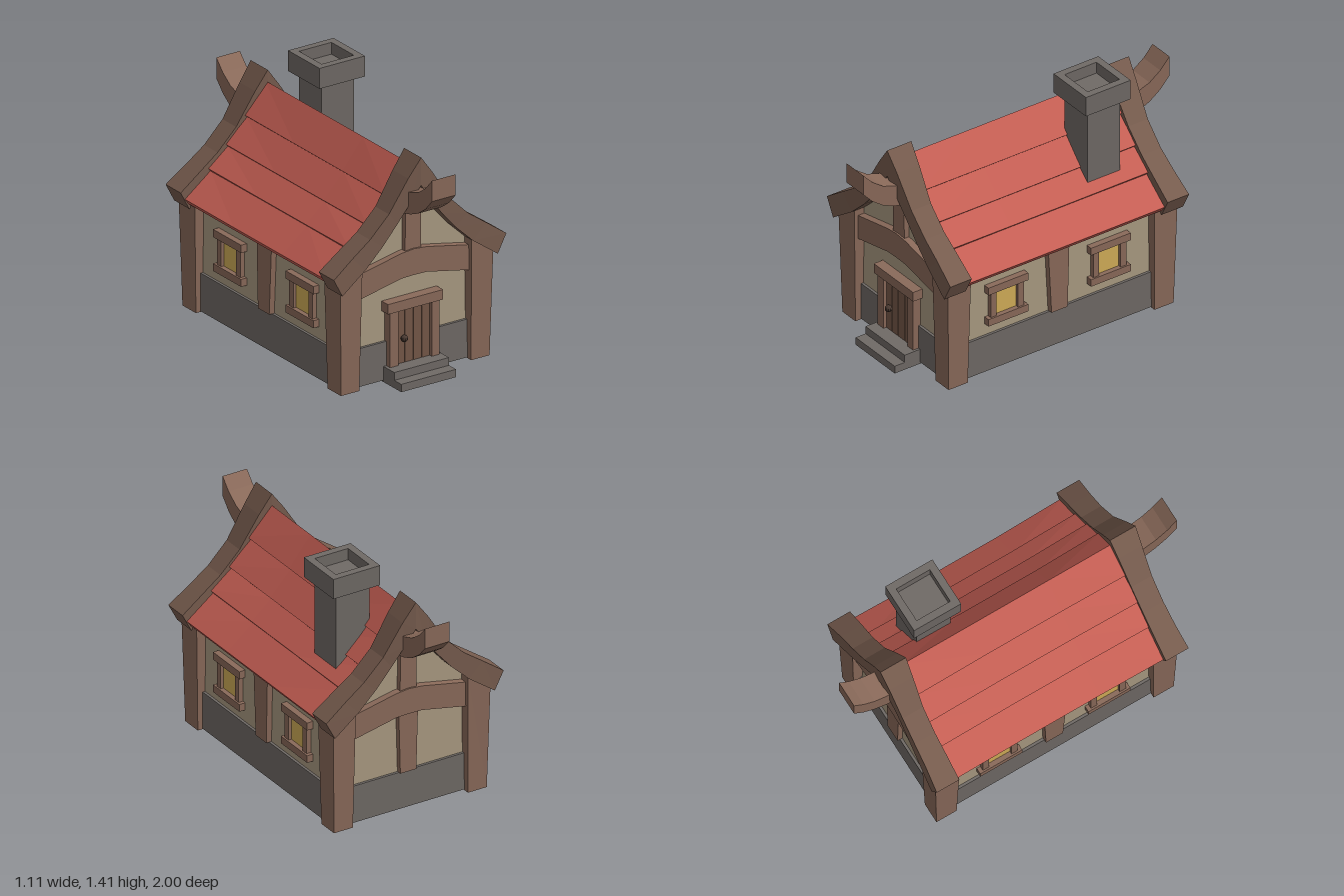
import * as THREE from 'three';

const mat = (color) => new THREE.MeshStandardMaterial({ color, flatShading: true, roughness: 0.9 });

export function createModel() {
  const house = new THREE.Group();
  house.name = 'cottage';
  const wood = mat(0x8a6a5a), darkWood = mat(0x775c4e), plank = mat(0x755848), plaster = mat(0xaa9b82);
  const stone = mat(0x706a66), tile = mat(0xc65f54), glass = mat(0xd2ae58), iron = mat(0x4a3a32);

  const add = (name, geometry, material, parent = house) => {
    const mesh = new THREE.Mesh(geometry, material);
    mesh.name = name;
    parent.add(mesh);
    return mesh;
  };
  // Box from its limits; the order of each pair is free
  const box = (name, material, x0, x1, y0, y1, z0, z1) => {
    const g = new THREE.BoxGeometry(Math.abs(x1 - x0), Math.abs(y1 - y0), Math.abs(z1 - z0));
    g.translate((x0 + x1) / 2, (y0 + y1) / 2, (z0 + z1) / 2);
    return add(name, g, material);
  };
  // Closed solid through a row of four-cornered sections
  const loft = (name, material, sections) => {
    const tris = [];
    const quad = (a, b, c, d) => tris.push([a, b, c], [a, c, d]);
    for (let i = 0; i + 1 < sections.length; i++) {
      const s = sections[i], t = sections[i + 1];
      for (let k = 0; k < 4; k++) quad(s[k], s[(k + 1) % 4], t[(k + 1) % 4], t[k]);
    }
    quad(...[...sections[0]].reverse());
    quad(...sections[sections.length - 1]);
    // Turn the faces outwards, whichever side the part is mirrored to
    const v = (p) => new THREE.Vector3(...p);
    const origin = v(sections[0][0]);
    let volume = 0;
    for (const t of tris) {
      const [a, b, c] = t.map((p) => v(p).sub(origin));
      volume += a.dot(b.cross(c));
    }
    if (volume < 0) tris.forEach((t) => t.reverse());
    const g = new THREE.BufferGeometry();
    g.setAttribute('position', new THREE.Float32BufferAttribute(tris.flat(2), 3));
    g.computeVertexNormals();
    return add(name, g, material);
  };
  const rect = (x0, x1, y, z0, z1) => [[x0, y, z0], [x1, y, z0], [x1, y, z1], [x0, y, z1]];

  // Stone footing and plastered walls with curved gables
  box('footing', stone, -0.45, 0.45, 0.01, 0.23, -0.7, 0.7);
  const half = [[0.435, 0.1], [0.435, 0.66], [0.25, 0.825], [0.14, 0.945]];
  const outline = [...half, [0, 1.14], ...half.map(([x, y]) => [-x, y]).reverse()];
  const walls = new THREE.ExtrudeGeometry(
    new THREE.Shape(outline.map(([x, y]) => new THREE.Vector2(x, y))), { depth: 1.37, bevelEnabled: false });
  walls.translate(0, 0, -0.685);
  add('walls', walls, plaster);

  for (const s of [1, -1]) {
    // Tapered posts at the corners, tops cut to the slope of the roof
    for (const e of [1, -1]) {
      const top = rect(s * 0.35, s * 0.492, 0.63, e * 0.6, e * 0.75);
      top[0][1] = top[3][1] = 0.72;
      loft('cornerPost', wood, [rect(s * 0.36, s * 0.478, 0.005, e * 0.61, e * 0.735), top]);
    }
    loft('sidePost', wood, [
      rect(s * 0.42, s * 0.468, 0.23, -0.05, 0.055), rect(s * 0.42, s * 0.468, 0.66, -0.062, 0.078)]);

    // Side windows
    for (const z of [0.34, -0.33]) {
      box('windowPane', glass, s * 0.42, s * 0.444, 0.33, 0.51, z - 0.08, z + 0.08);
      box('windowHead', wood, s * 0.42, s * 0.472, 0.495, 0.54, z - 0.13, z + 0.13);
      box('windowSill', wood, s * 0.42, s * 0.472, 0.3, 0.343, z - 0.13, z + 0.13);
      for (const e of [1, -1])
        box('windowJamb', wood, s * 0.42, s * 0.462, 0.33, 0.51, z + e * 0.07, z + e * 0.108);
    }

    // Overlapping roof rows, from ridge to eave: upper x, y, lower x, y
    const rows = [
      [0, 1.21, 0.14, 1.05], [0.125, 1.04, 0.26, 0.91],
      [0.245, 0.9, 0.375, 0.8], [0.355, 0.79, 0.528, 0.662]];
    for (const [x0, y0, x1, y1] of rows) {
      const len = Math.hypot(x1 - x0, y1 - y0), t = 0.04;
      const nx = (y0 - y1) / len * t, ny = (x1 - x0) / len * t;
      loft('roofRow', tile, [-0.66, -0.2, 0.25, 0.66].map((z, i) => {
        const sag = i === 1 || i === 2 ? 0.006 : 0;
        return [[s * x0, y0, z], [s * (x1 - sag), y1 - sag, z], [s * (x1 - nx - sag), y1 - ny - sag, z],
          [s * Math.max(0, x0 - nx), y0 - (x0 ? ny : 0.05), z]];
      }));
    }
  }

  // Parts at each gable
  const outer = [[0.555, 0.705], [0.43, 0.795], [0.315, 0.877], [0.195, 0.995], [0.078, 1.175], [0, 1.28]];
  const inner = [[0.5, 0.6], [0.346, 0.71], [0.235, 0.815], [0.14, 0.925], [0.06, 1.035], [0, 1.12]];
  const depth = [[0.64, 0.78], [0.642, 0.772], [0.645, 0.77], [0.645, 0.772], [0.637, 0.782], [0.632, 0.79]];
  for (const e of [1, -1]) {
    const station = (i, s) => [
      [s * outer[i][0], outer[i][1], e * depth[i][1]], [s * outer[i][0], outer[i][1], e * depth[i][0]],
      [s * inner[i][0], inner[i][1], e * depth[i][0]], [s * inner[i][0], inner[i][1], e * depth[i][1]]];
    const order = [0, 1, 2, 3, 4, 5];
    loft('bargeBoard', darkWood, [
      ...order.map((i) => station(i, -1)), ...order.slice(0, 5).reverse().map((i) => station(i, 1))]);

    // Upswept ridge horn: z, bottom, top
    const horn = [[0.62, 0.95, 1.08], [0.72, 0.955, 1.085], [0.8, 0.975, 1.1], [0.87, 1.005, 1.125],
      [0.94, 1.055, 1.175], [1, 1.12, 1.24]];
    loft('ridgeHorn', wood, horn.map(([z, b, t]) => [
      [-0.076, b, e * z], [0.076, b, e * z], [0.076, t, e * z], [-0.076, t, e * z]]));

    // Arched tie beam and the king post above it
    const beam = [[-0.37, 0.52, 0.665], [-0.08, 0.58, 0.725], [0, 0.582, 0.732], [0.08, 0.58, 0.725], [0.37, 0.52, 0.665]];
    loft('tieBeam', wood, beam.map(([x, b, t]) => [
      [x, b, e * 0.66], [x, t, e * 0.66], [x, t, e * 0.725], [x, b, e * 0.725]]));
    loft('kingPost', wood, [
      rect(-0.052, 0.052, 0.7, e * 0.66, e * 0.715), rect(-0.048, 0.048, 1.02, e * 0.66, e * 0.715)]);
  }
  loft('backPost', wood, [
    rect(-0.05, 0.05, 0.23, -0.66, -0.715), rect(-0.06, 0.06, 0.6, -0.66, -0.715)]);

  // Door with planks, frame and knob
  for (let i = 0; i < 4; i++) {
    const x = -0.11 + i * 0.055;
    box('doorPlank', plank, x + 0.002, x + 0.053, 0.08, 0.41, 0.68, 0.716);
  }
  box('doorGaps', iron, -0.11, 0.11, 0.08, 0.41, 0.68, 0.71);
  box('doorJamb', wood, -0.162, -0.108, 0.06, 0.41, 0.68, 0.735);
  box('doorJamb', wood, 0.106, 0.157, 0.06, 0.41, 0.68, 0.735);
  box('doorLintel', wood, -0.182, 0.172, 0.405, 0.462, 0.68, 0.745);
  add('doorKnob', new THREE.SphereGeometry(0.02, 10, 8), iron).position.set(-0.068, 0.235, 0.732);

  // Front steps
  box('lowerStep', stone, -0.18, 0.172, 0, 0.045, 0.5, 0.865);
  box('upperStep', stone, -0.18, 0.172, 0.04, 0.09, 0.5, 0.8);

  // Chimney with a hollow cap
  box('chimneyShaft', stone, 0.108, 0.318, 0.84, 1.34, -0.5, -0.29);
  const square = (r) => [[-r, -r], [r, -r], [r, r], [-r, r]].map(([x, y]) => new THREE.Vector2(x, y));
  const cap = new THREE.Shape(square(0.146));
  cap.holes.push(new THREE.Path(square(0.104).reverse()));
  const capGeometry = new THREE.ExtrudeGeometry(cap, { depth: 0.118, bevelEnabled: false });
  capGeometry.rotateX(-Math.PI / 2);
  add('chimneyCap', capGeometry, stone).position.set(0.213, 1.29, -0.395);

  return house;
}
